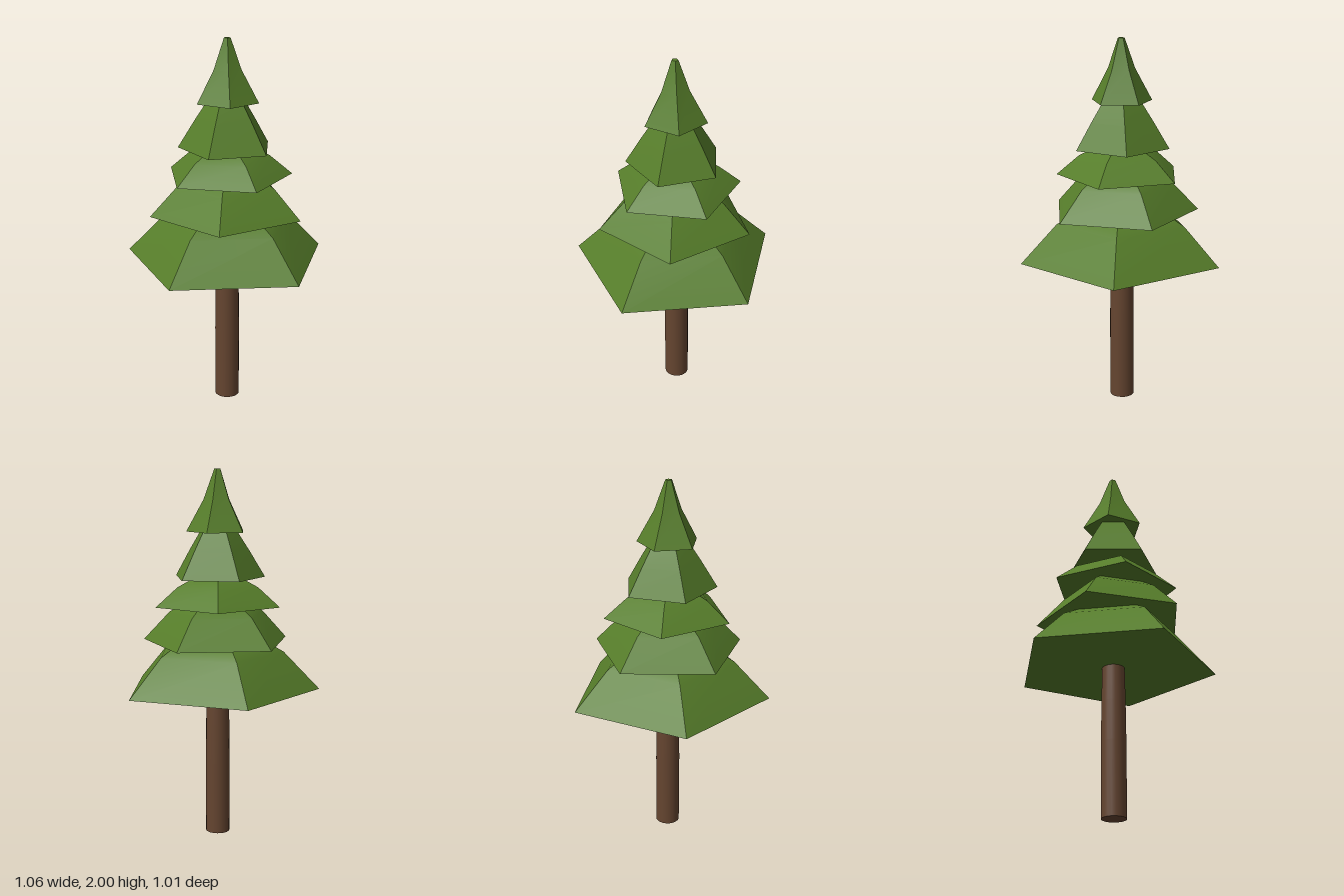
import * as THREE from 'three';

const AXIS_Z = 0.055; // the tree stands slightly forward of centre
const SIDES = 5;

// Five-sided closed tier: rings are [radius, y] from bottom to top.
// Each side is smooth from bottom to top, with sharp edges between sides.
function tierGeometry(rings, phase) {
  const pos = [], index = [];
  const add = (r, y, a) => pos.push(r * Math.cos(a), y, r * Math.sin(a)) / 3 - 1;
  const [rBottom, yBottom] = rings[0];
  const [rTop, yTop] = rings[rings.length - 1];
  for (let i = 0; i < SIDES; i++) {
    const a0 = phase + (i / SIDES) * Math.PI * 2;
    const a1 = phase + ((i + 1) / SIDES) * Math.PI * 2;
    // sloping side
    let low = null;
    for (const [r, y] of rings) {
      const up = [add(r, y, a0), add(r, y, a1)];
      if (low) index.push(low[0], up[0], low[1], up[0], up[1], low[1]);
      low = up;
    }
    // underside and top cap
    index.push(add(0, yBottom, 0), add(rBottom, yBottom, a0), add(rBottom, yBottom, a1));
    index.push(add(0, yTop, 0), add(rTop, yTop, a1), add(rTop, yTop, a0));
  }
  const g = new THREE.BufferGeometry();
  g.setAttribute('position', new THREE.Float32BufferAttribute(pos, 3));
  g.setIndex(index);
  g.computeVertexNormals();
  return g;
}

export function createModel() {
  const tree = new THREE.Group();
  tree.name = 'pineTree';
  const bark = new THREE.MeshStandardMaterial({ color: 0x654530 });
  const needles = new THREE.MeshStandardMaterial({ color: 0x567d2a });

  // trunk, narrowing a little near the foliage
  const profile = [[0, 0], [0.066, 0], [0.066, 0], [0.066, 0.4], [0.064, 0.62], [0.06, 0.83]];
  const trunk = new THREE.Mesh(
    new THREE.LatheGeometry(profile.map(([r, y]) => new THREE.Vector2(r, y)), 20), bark);
  trunk.name = 'trunk';
  trunk.position.z = AXIS_Z;
  tree.add(trunk);

  // foliage tiers, each twisted against the one below
  const tiers = [
    { twist: -90, rings: [[0.556, 0.815], [0.36, 1.02], [0.262, 1.077], [0.1, 1.14]] },
    { twist: 28, rings: [[0.416, 1.075], [0.27, 1.23], [0.195, 1.277], [0.08, 1.33]] },
    { twist: -2.5, rings: [[0.348, 1.275], [0.226, 1.379], [0.13, 1.427], [0.06, 1.46]] },
    { twist: 44, rings: [[0.259, 1.425], [0.172, 1.568], [0.105, 1.672], [0.05, 1.74]] },
    { twist: 17.5, rings: [[0.168, 1.67], [0.075, 1.84], [0.018, 2]] },
  ];
  tiers.forEach(({ twist, rings }, i) => {
    const tier = new THREE.Mesh(tierGeometry(rings, THREE.MathUtils.degToRad(twist)), needles);
    tier.name = `foliageTier${i + 1}`;
    tier.position.z = AXIS_Z;
    tree.add(tier);
  });
  return tree;
}
